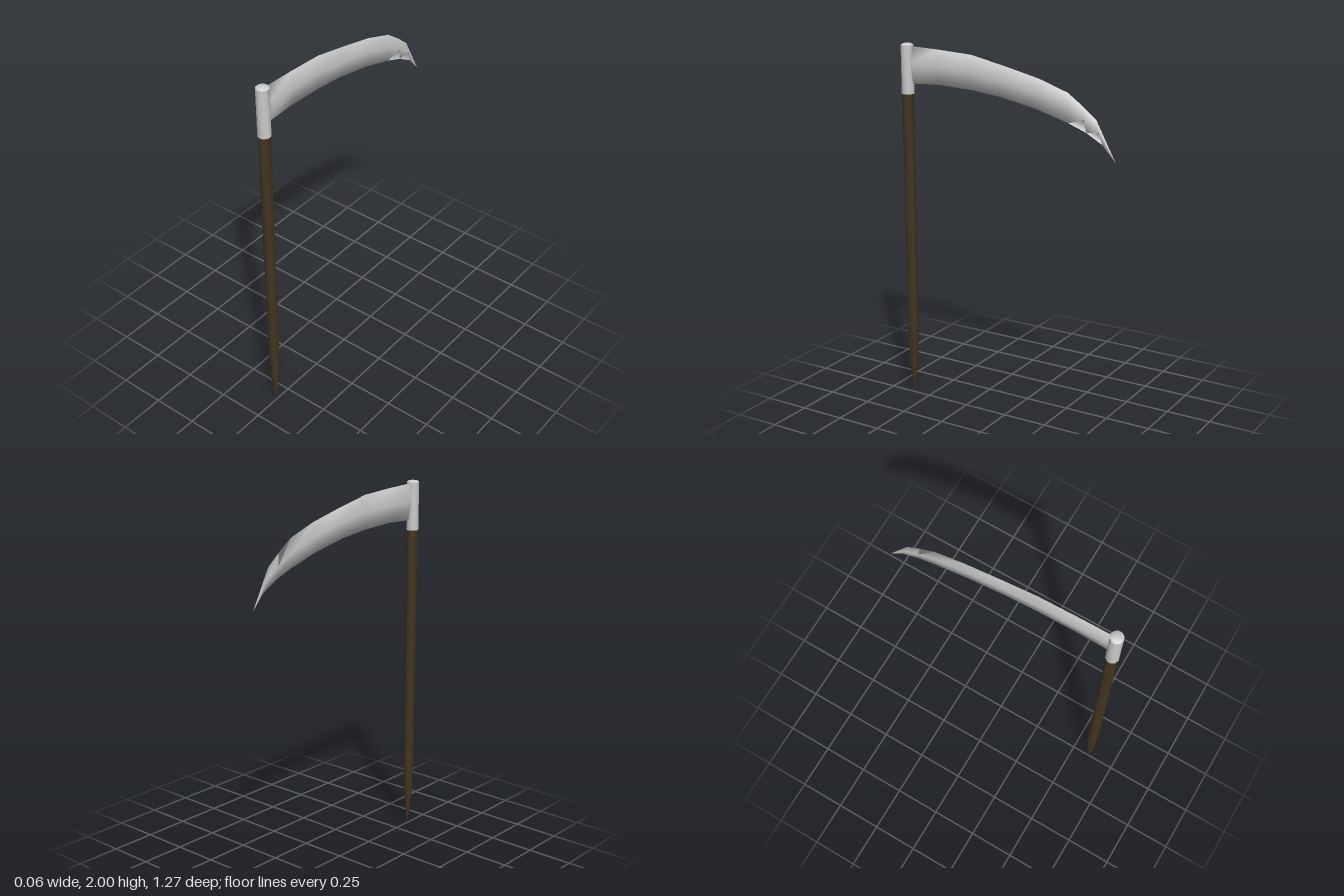
import * as THREE from 'three';
import { toCreasedNormals } from 'three/addons/utils/BufferGeometryUtils.js';

const SIDES = 10;
const POLE_Z = 0.6;

// Round part turned from [radius, height] pairs, listed from the bottom up
function turned(name, profile, material) {
  const points = profile.map(([r, y]) => new THREE.Vector2(r, y));
  const geometry = toCreasedNormals(new THREE.LatheGeometry(points, SIDES), 0.7);
  const mesh = new THREE.Mesh(geometry, material);
  mesh.name = name;
  mesh.position.z = POLE_Z;
  return mesh;
}

// Blade lofted through thin diamond sections: spine, left ridge, edge, right ridge
function bladeGeometry() {
  // [spine z, spine y, edge z, edge y, half thickness]
  const sections = [
    [0.59, 1.985, 0.59, 1.785, 0.015],
    [0.4, 1.98, 0.4, 1.795, 0.014],
    [0.2, 1.97, 0.2, 1.787, 0.012],
    [0, 1.93, 0.03, 1.77, 0.01],
    [-0.2, 1.885, -0.18, 1.73, 0.009],
    [-0.365, 1.83, -0.37, 1.677, 0.008],
    [-0.45, 1.77, -0.47, 1.64, 0.008],
    [-0.525, 1.71, -0.56, 1.59, 0.007],
    [-0.635, 1.51, -0.635, 1.51, 0],
  ];
  const positions = [];
  const index = [];
  for (const [sz, sy, ez, ey, t] of sections) {
    const my = (sy + ey) / 2;
    const mz = (sz + ez) / 2;
    positions.push(0, sy, sz, t, my, mz, 0, ey, ez, -t, my, mz);
  }
  for (let i = 0; i < sections.length - 1; i++) {
    for (let j = 0; j < 4; j++) {
      const a = i * 4 + j;
      const b = i * 4 + ((j + 1) % 4);
      index.push(a, b, a + 4, b, b + 4, a + 4);
    }
  }
  index.push(0, 2, 1, 0, 3, 2); // root cap
  const geometry = new THREE.BufferGeometry();
  geometry.setAttribute('position', new THREE.Float32BufferAttribute(positions, 3));
  geometry.setIndex(index);
  geometry.computeVertexNormals();
  return geometry;
}

export function createModel() {
  const group = new THREE.Group();
  group.name = 'scythe';
  const wood = new THREE.MeshStandardMaterial({ color: 0x43341f });
  const steel = new THREE.MeshStandardMaterial({ color: 0xcccccc });

  // Wooden pole sharpened at its foot
  group.add(turned('pole', [
    [0, 0], [0.024, 0.2], [0.029, 0.42], [0.03, 1.2], [0.03, 1.75],
  ], wood));

  // Metal collar with a slightly domed top
  group.add(turned('collar', [
    [0, 1.73], [0.034, 1.73], [0.034, 1.99], [0.024, 1.997], [0, 2],
  ], steel));

  // Curved blade reaching backwards; doubled for the very thin tip
  const bladeSteel = new THREE.MeshStandardMaterial({ color: 0xcccccc, side: THREE.DoubleSide });
  const blade = new THREE.Mesh(bladeGeometry(), bladeSteel);
  blade.name = 'blade';
  group.add(blade);

  return group;
}
